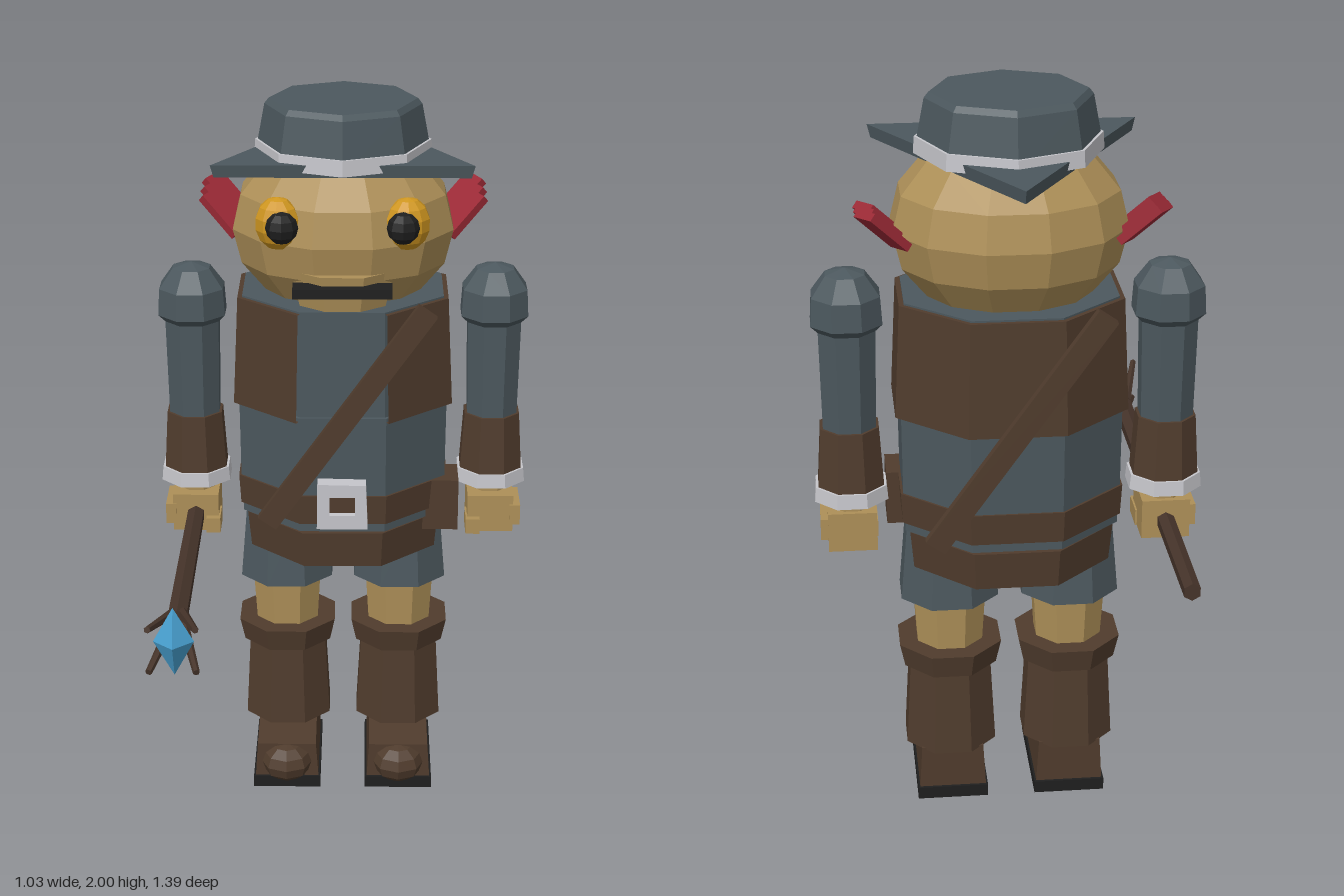
import * as THREE from 'three';

const paint = (name, color) => {
  const m = new THREE.MeshStandardMaterial({ color, flatShading: true, side: THREE.DoubleSide });
  m.name = name;
  return m;
};

export function createModel() {
  const slate = paint('slate cloth', 0x4c585e), brown = paint('brown leather', 0x503c2d);
  const skin = paint('tan skin', 0xae9058), red = paint('red ear', 0x9c2a36);
  const amber = paint('amber eye', 0xcf9620), gem = paint('blue gem', 0x48a0d0);
  const metal = paint('pale metal', 0xc6c6cb), black = paint('black', 0x1f1f1f);
  const wood = paint('dark wood', 0x46342a);
  const model = new THREE.Group();
  const Z = -0.225; // body axis

  const add = (name, geo, mat, x = 0, y = 0, z = 0, parent = model) => {
    const m = new THREE.Mesh(geo, mat);
    m.name = name;
    m.position.set(x, y, z);
    parent.add(m);
    return m;
  };
  const box = (name, mat, w, h, d, x, y, z, parent) => add(name, new THREE.BoxGeometry(w, h, d), mat, x, y, z, parent);
  // Faceted ring between two heights, with a flat side to the front
  const prism = (name, mat, rBot, rTop, y0, y1, x = 0, z = Z, sz = 1, n = 8, rot = Math.PI / n, parent = model) => {
    const g = new THREE.CylinderGeometry(rTop, rBot, y1 - y0, n).rotateY(rot).scale(1, 1, sz);
    return add(name, g, mat, x, (y0 + y1) / 2, z, parent);
  };
  const lathe = (pts, n, start = Math.PI / 8, len = Math.PI * 2) =>
    new THREE.LatheGeometry(pts.map(p => new THREE.Vector2(...p)), n, start, len);
  // Straight rod between two points
  const rod = (name, mat, a, b, r0, r1, parent) => {
    const d = b.clone().sub(a);
    const m = add(name, new THREE.CylinderGeometry(r1, r0, d.length(), 6), mat, 0, 0, 0, parent);
    m.position.copy(a).lerp(b, 0.5);
    m.quaternion.setFromUnitVectors(new THREE.Vector3(0, 1, 0), d.normalize());
    return m;
  };

  // Torso, open vest and belts
  const F = 0.88;
  prism('tunic', slate, 0.305, 0.298, 0.84, 1.48, 0, Z, F);
  prism('tunicMiddle', slate, 0.31, 0.312, 0.95, 1.18, 0, Z, F);
  const vest = lathe([[0.27, 1.17], [0.328, 1.17], [0.312, 1.475], [0.27, 1.475]], 7, Math.PI / 8, Math.PI * 1.75);
  add('vest', vest.scale(1, 1, F), brown, 0, 0, Z);
  prism('belt', brown, 0.312, 0.317, 0.865, 0.95, 0, Z, F);
  prism('lowerBelt', brown, 0.282, 0.292, 0.73, 0.835, 0, Z, 0.93);
  box('pouch', brown, 0.1, 0.15, 0.12, 0.275, 0.875, -0.14);

  // Buckle frame with a hole
  const frame = new THREE.Shape([[-0.07, -0.065], [0.07, -0.065], [0.065, 0.065], [-0.068, 0.068]].map(p => new THREE.Vector2(...p)));
  frame.holes.push(new THREE.Path([[-0.035, -0.025], [-0.035, 0.03], [0.035, 0.03], [0.035, -0.025]].map(p => new THREE.Vector2(...p))));
  add('buckle', new THREE.ExtrudeGeometry(frame, { depth: 0.045, bevelEnabled: false }), metal, 0, 0.94, 0.04);
  box('buckleCentre', brown, 0.08, 0.07, 0.03, 0, 0.942, 0.05);

  // Diagonal straps, front and back
  for (const [name, z, s] of [['frontStrap', 0.08, 1], ['backStrap', -0.53, -1]]) {
    const m = box(name, brown, 0.06, 0.75, 0.025, 0.01 * s, 1.2, z);
    m.rotation.z = -0.615;
    if (s < 0) { m.rotation.z = 0.615; m.position.x = 0; }
  }

  // Head, muzzle and mouth
  add('head', new THREE.SphereGeometry(1, 12, 8).rotateY(Math.PI / 12).scale(0.31, 0.25, 0.262), skin, 0, 1.655, -0.232);
  const muzzle = new THREE.CylinderGeometry(0.15, 0.125, 0.1, 8).rotateY(Math.PI / 8).scale(1, 1, 0.75);
  add('muzzle', muzzle, skin, 0, 1.53, -0.075);
  box('mouth', black, 0.265, 0.026, 0.06, 0, 1.543, 0.025);

  for (const s of [1, -1]) {
    const side = s > 0 ? 'left' : 'right';

    // Eyes
    const eye = add(side + 'Eye', new THREE.SphereGeometry(1, 10, 7).scale(0.063, 0.072, 0.055), amber, s * 0.172, 1.71, -0.038);
    eye.rotation.y = s * 0.4;
    add(side + 'Pupil', new THREE.SphereGeometry(0.044, 8, 6), black, s * 0.16, 1.71, 0.005);

    // Ear made of three swept fins
    const ear = new THREE.Group();
    ear.name = side + 'Ear';
    for (let i = 0; i < 3; i++) {
      const fin = box('earFin', red, 0.14, 0.022, 0.075, s * 0.325, 1.675 + i * 0.008, -0.255 - i * 0.06, ear);
      fin.rotation.set(0.12, s * 0.55, s * 0.7);
    }
    model.add(ear);

    // Arm
    const x = s * 0.42;
    add(side + 'Sleeve', lathe([[0, 1.09], [0.075, 1.09], [0.08, 1.38], [0.1, 1.4], [0.095, 1.475], [0.055, 1.53], [0, 1.545]], 8), slate, x, 0, Z);
    prism(side + 'Bracer', brown, 0.095, 0.083, 0.93, 1.11, x);
    prism(side + 'Cuff', metal, 0.105, 0.101, 0.905, 0.945, x);
    prism(side + 'Wrist', skin, 0.055, 0.055, 0.86, 0.915, x);
    box(side + 'Fist', skin, 0.13, 0.11, 0.15, x, 0.822, -0.215);
    box(side + 'Fingers', skin, 0.03, 0.06, 0.13, x + s * 0.07, 0.82, -0.2);
    box(side + 'Thumb', skin, 0.04, 0.045, 0.09, x - s * 0.05, 0.79, -0.165);

    // Leg and boot
    const lx = s * 0.163;
    prism(side + 'ShortsLeg', slate, 0.142, 0.12, 0.61, 0.85, lx);
    prism(side + 'Knee', skin, 0.094, 0.106, 0.44, 0.63, lx);
    prism(side + 'BootCuff', brown, 0.135, 0.15, 0.4, 0.467, lx);
    prism(side + 'BootShaft', brown, 0.133, 0.118, 0.155, 0.42, lx);
    const foot = new THREE.BoxGeometry(0.185, 0.13, 0.32);
    const p = foot.attributes.position;
    for (let i = 0; i < p.count; i++) {
      if (p.getY(i) > 0) { p.setX(i, p.getX(i) * 0.92); if (p.getZ(i) > 0) p.setY(i, 0.045); }
    }
    add(side + 'Foot', foot, brown, lx, 0.095, -0.165);
    add(side + 'ToeCap', new THREE.SphereGeometry(1, 8, 6).scale(0.075, 0.058, 0.07), brown, lx, 0.082, -0.012);
    box(side + 'Sole', black, 0.195, 0.035, 0.335, lx, 0.0175, -0.165);
  }

  // Hat with a three-cornered brim
  prism('hatBrim', slate, 0.392, 0.402, 1.832, 1.866, 0, -0.24, 1, 3, Math.PI);
  prism('hatBand', metal, 0.241, 0.238, 1.845, 1.888, 0, -0.235, 0.98, 8, 0);
  prism('hatCrown', slate, 0.238, 0.212, 1.85, 1.985, 0, -0.235, 0.98, 8, 0);
  prism('hatTop', slate, 0.212, 0.2, 1.985, 2, 0, -0.235, 0.98, 8, 0);

  // Staff held in the right hand, with four prongs around a gem
  const staff = new THREE.Group();
  staff.name = 'staff';
  staff.position.set(-0.42, 0.817, 0);
  const v = (x, y, z) => new THREE.Vector3(x, y, z);
  rod('shaft', wood, v(0, 0, -0.695), v(0, 0, 0.52), 0.024, 0.028, staff);
  for (const sx of [1, -1]) for (const sy of [1, -1])
    rod('prong', wood, v(sx * 0.012, sy * 0.012, 0.5), v(sx * 0.06, sy * 0.06, 0.688), 0.014, 0.009, staff);
  add('gem', new THREE.OctahedronGeometry(1).scale(0.052, 0.095, 0.045), gem, 0, 0, 0.635, staff);
  model.add(staff);

  return model;
}
